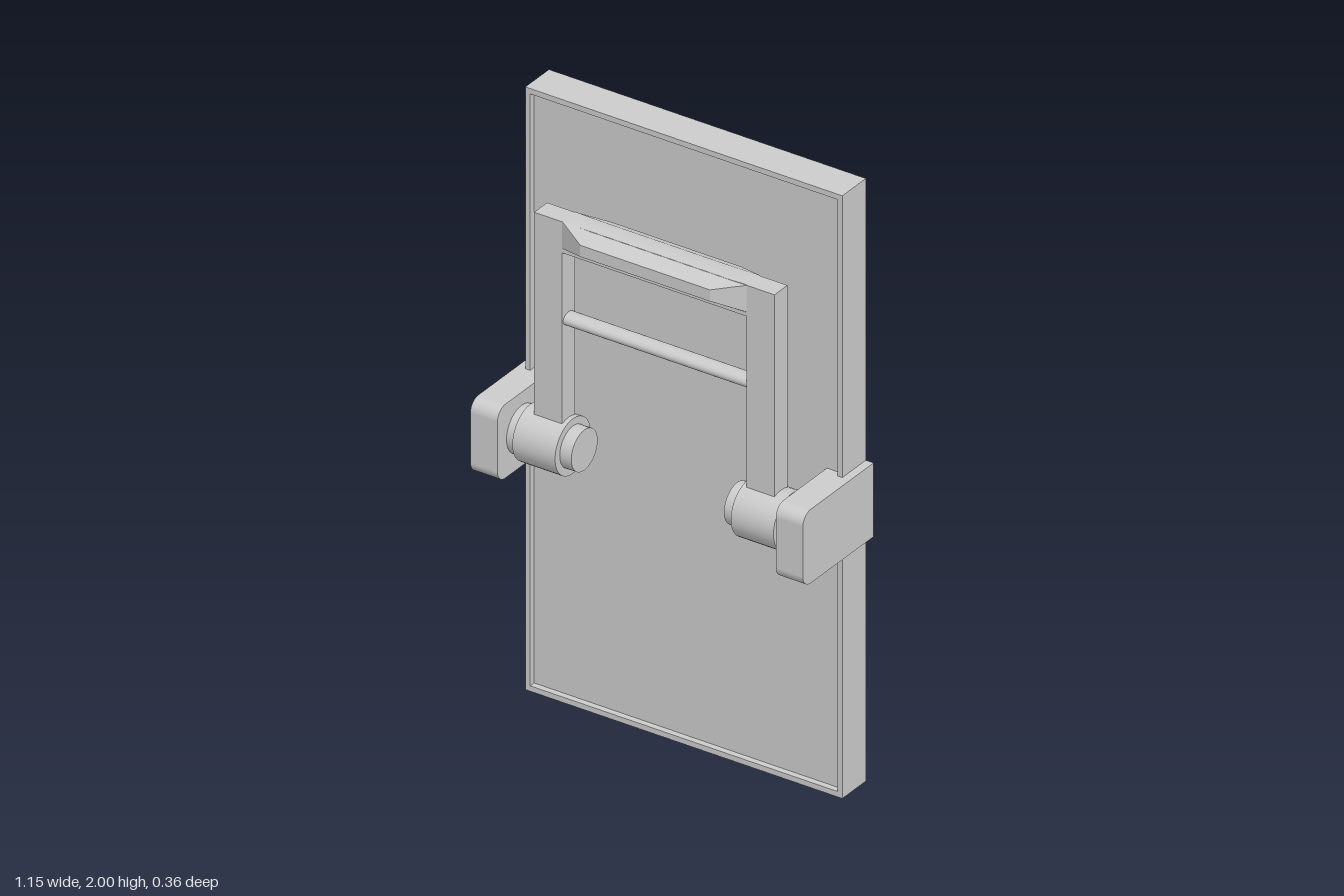
import * as THREE from 'three';
import { toCreasedNormals } from 'three/addons/utils/BufferGeometryUtils.js';

const material = new THREE.MeshStandardMaterial({ color: 0xcccccc });
const PIVOT_Y = 0.945, PIVOT_Z = 0.057;

function add(parent, name, geometry, x = 0, y = 0, z = 0) {
  const mesh = new THREE.Mesh(geometry, material);
  mesh.name = name;
  mesh.position.set(x, y, z);
  parent.add(mesh);
  return mesh;
}

const polygon = (points) => new THREE.Shape(points.map(([x, y]) => new THREE.Vector2(x, y)));
const extrude = (shape, depth) =>
  new THREE.ExtrudeGeometry(shape, { depth, bevelEnabled: false, curveSegments: 8 });
const rect = (x, y0, y1) => [[-x, y0], [x, y0], [x, y1], [-x, y1]];

// Grip: half sections [z, y], thin at the arms and wide in the middle, mirrored front to back
function gripGeometry() {
  const thin = [[0.02, 1.702], [0.033, 1.702], [0.034, 1.7], [0.034, 1.612], [0.032, 1.61]];
  const wide = [[0.012, 1.702], [0.034, 1.699], [0.08, 1.676], [0.08, 1.638], [0.034, 1.61]];
  const loop = (half) => [...half, ...half.map(([z, y]) => [-z, y]).reverse()];
  const sections = [[-0.32, thin], [-0.225, wide], [0.225, wide], [0.32, thin]];
  const positions = [], index = [], n = 10;
  sections.forEach(([x, half], i) => {
    loop(half).forEach(([z, y]) => positions.push(x, y, z + PIVOT_Z));
    if (i === sections.length - 1) return;
    for (let j = 0; j < n; j++) {
      const a = i * n + j, d = i * n + (j + 1) % n;
      index.push(a, d, d + n, a, d + n, a + n);
    }
  });
  const geometry = new THREE.BufferGeometry();
  geometry.setAttribute('position', new THREE.Float32BufferAttribute(positions, 3));
  geometry.setIndex(index);
  return toCreasedNormals(geometry, 0.45);
}

// Side bracket profile drawn in (z, y), rounded at the two front corners
function bracketGeometry() {
  const back = -0.18, front = 0.18, low = 0.82, high = 1.065, r = 0.04;
  const s = new THREE.Shape();
  s.moveTo(back, low);
  s.lineTo(front - r, low);
  s.absarc(front - r, low + r, r, -Math.PI / 2, 0, false);
  s.lineTo(front, high - r);
  s.absarc(front - r, high - r, r, 0, Math.PI / 2, false);
  s.lineTo(back, high);
  s.closePath();
  return extrude(s, 0.094).translate(0, 0, -0.047).rotateY(-Math.PI / 2);
}

export function createModel() {
  const model = new THREE.Group();
  model.name = 'panelWithHandle';

  // Panel with a thin raised rim around its front
  const panel = new THREE.Group();
  panel.name = 'panel';
  model.add(panel);
  add(panel, 'panelBoard', new THREE.BoxGeometry(1.1, 2, 0.1), 0, 1, -0.13);
  const rim = polygon(rect(0.55, 0, 2));
  rim.holes.push(polygon(rect(0.533, 0.018, 1.982).reverse()));
  add(panel, 'panelRim', extrude(rim, 0.02), 0, 0, -0.08);

  // Swinging handle: arms joined at the top, wide grip and crossbar
  const handle = new THREE.Group();
  handle.name = 'handle';
  model.add(handle);
  const frame = polygon([
    [-0.417, PIVOT_Y], [-0.32, PIVOT_Y], [-0.32, 1.597], [0.32, 1.597],
    [0.32, PIVOT_Y], [0.417, PIVOT_Y], [0.417, 1.7], [-0.417, 1.7],
  ]);
  add(handle, 'handleFrame', extrude(frame, 0.066), 0, 0, PIVOT_Z - 0.033);
  add(handle, 'grip', gripGeometry());
  const bar = new THREE.CylinderGeometry(0.02, 0.02, 0.66, 24).rotateZ(Math.PI / 2);
  add(handle, 'crossbar', bar, 0, 1.366, PIVOT_Z).scale.z = 1.4;

  // Brackets and stepped pivots on both sides
  for (const side of [-1, 1]) {
    const hinge = new THREE.Group();
    hinge.name = side > 0 ? 'leftHinge' : 'rightHinge';
    model.add(hinge);
    add(hinge, 'bracket', bracketGeometry(), side * 0.53);
    const steps = [
      ['collar', 0.077, 0.45, 0.49],
      ['barrel', 0.091, 0.305, 0.453],
      ['pinEnd', 0.067, 0.265, 0.31],
    ];
    for (const [name, radius, from, to] of steps) {
      const geometry = new THREE.CylinderGeometry(radius, radius, to - from, 32).rotateZ(Math.PI / 2);
      add(hinge, name, geometry, side * (from + to) / 2, PIVOT_Y, PIVOT_Z);
    }
  }
  return model;
}
